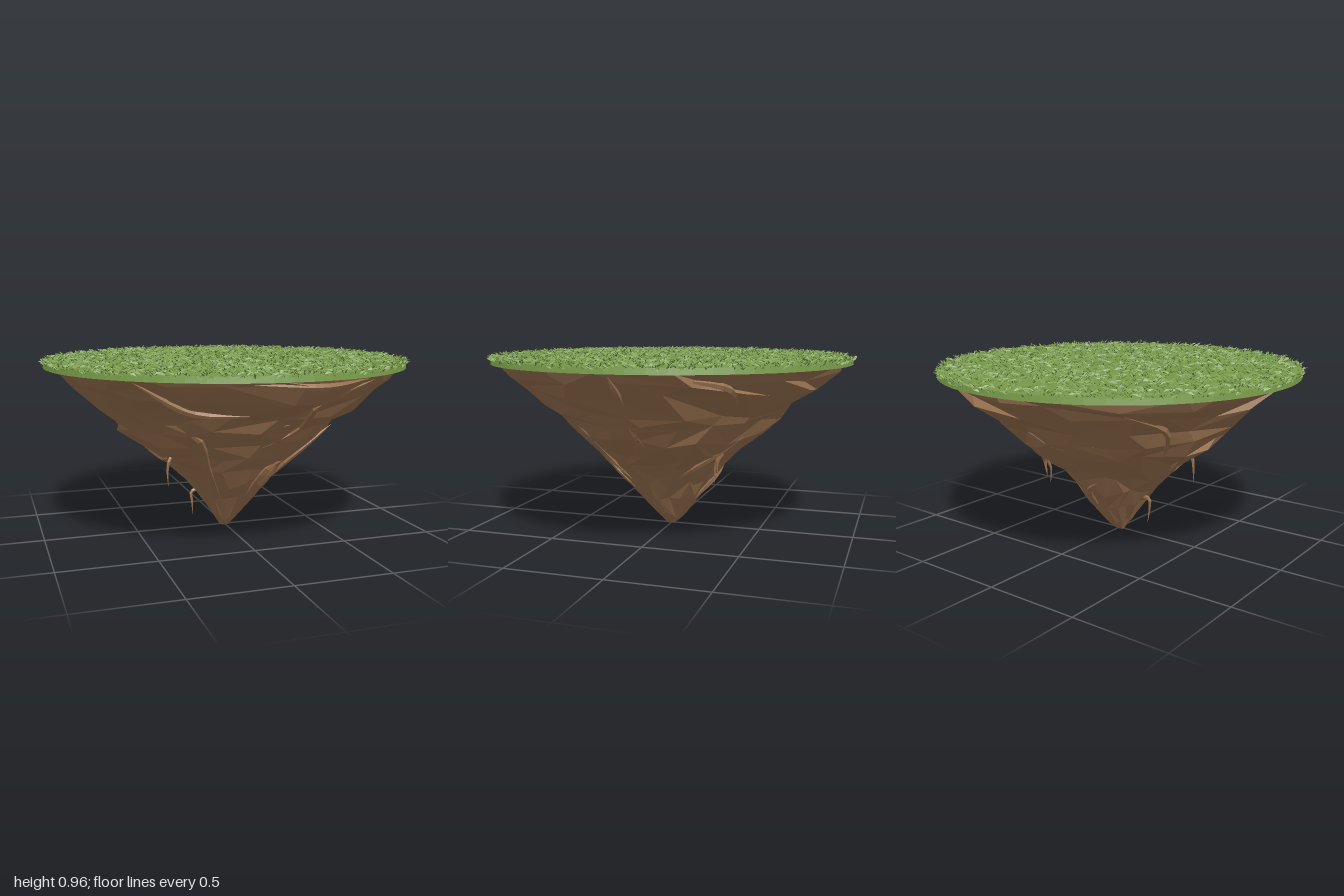
import * as THREE from 'three';
import { mergeGeometries } from 'three/addons/utils/BufferGeometryUtils.js';

const earthMat = new THREE.MeshStandardMaterial({ color: 0x98714f });
earthMat.name = 'earth brown';
const grassMat = new THREE.MeshStandardMaterial({ color: 0x77994a, side: THREE.DoubleSide });
grassMat.name = 'grass green';

// Seeded random numbers
function makeRandom(seed) {
  let s = seed;
  return () => (s = (s * 16807) % 2147483647) / 2147483647;
}

// Rock profile: height, then radius towards +z, +x, -z, -x
const LEVELS = [
  [0.0, 0.025, 0.02, 0.02, 0.03], [0.05, 0.07, 0.075, 0.07, 0.06],
  [0.18, 0.18, 0.17, 0.17, 0.14], [0.28, 0.27, 0.25, 0.25, 0.23],
  [0.37, 0.35, 0.33, 0.31, 0.31], [0.45, 0.42, 0.44, 0.42, 0.41],
  [0.54, 0.5, 0.56, 0.52, 0.56], [0.62, 0.58, 0.63, 0.58, 0.62],
  [0.69, 0.66, 0.71, 0.65, 0.68], [0.79, 0.82, 0.82, 0.82, 0.78],
  [0.86, 0.91, 0.89, 0.88, 0.86], [0.91, 0.92, 0.94, 0.92, 0.92],
];

function levelRadius(row, a) {
  const c = Math.cos(a), s = Math.sin(a);
  return c * c * (c > 0 ? row[1] : row[3]) + s * s * (s > 0 ? row[2] : row[4]);
}

// Point on the rock at an angle (0 = front, towards +x) and height
function rockPoint(a, y, out = 0) {
  let i = 1;
  while (i < LEVELS.length - 1 && LEVELS[i][0] < y) i++;
  const lo = LEVELS[i - 1], hi = LEVELS[i];
  const t = (y - lo[0]) / (hi[0] - lo[0]);
  const r = THREE.MathUtils.lerp(levelRadius(lo, a), levelRadius(hi, a), t) + out;
  return new THREE.Vector3(Math.sin(a) * r, y, Math.cos(a) * r);
}

function flat(geometry) {
  const g = geometry.index ? geometry.toNonIndexed() : geometry;
  g.deleteAttribute('normal');
  g.computeVertexNormals();
  return g;
}

// Faceted rock from uneven rings
function rockGeometry() {
  const rnd = makeRandom(71), n = 20, pos = [], idx = [];
  LEVELS.forEach((row, j) => {
    const edge = j === 0 || j === LEVELS.length - 1;
    for (let i = 0; i < n; i++) {
      const a = ((i + (rnd() - 0.5) * 0.75) / n) * Math.PI * 2;
      const y = edge ? row[0] : row[0] + (rnd() - 0.5) * 0.05;
      const p = rockPoint(a, y, edge ? 0 : (rnd() - 0.5) * 0.07 * Math.min(1, 0.2 + row[0]));
      pos.push(p.x, p.y, p.z);
    }
  });
  for (let j = 0; j < LEVELS.length - 1; j++) {
    for (let i = 0; i < n; i++) {
      const a = j * n + i, b = j * n + ((i + 1) % n), c = a + n, d = b + n;
      if (rnd() < 0.5) idx.push(a, b, d, a, d, c);
      else idx.push(a, b, c, b, d, c);
    }
  }
  pos.push(0, 0, 0);
  const tip = LEVELS.length * n;
  for (let i = 0; i < n; i++) idx.push(tip, (i + 1) % n, i);
  const g = new THREE.BufferGeometry();
  g.setAttribute('position', new THREE.Float32BufferAttribute(pos, 3));
  g.setIndex(idx);
  return flat(g);
}

// Tube that narrows to points at its ends
function taperedTube(points, radius, startThick) {
  const curve = new THREE.CatmullRomCurve3(points);
  const segs = points.length * 3, sides = 5;
  const g = new THREE.TubeGeometry(curve, segs, radius, sides, false);
  const p = g.attributes.position, v = new THREE.Vector3();
  for (let i = 0; i <= segs; i++) {
    const t = i / segs, c = curve.getPointAt(t);
    const k = startThick ? 1 - 0.93 * t : 0.05 + 0.95 * Math.sin(Math.PI * t);
    for (let j = 0; j <= sides; j++) {
      const q = i * (sides + 1) + j;
      v.fromBufferAttribute(p, q).sub(c).multiplyScalar(k).add(c);
      p.setXYZ(q, v.x, v.y, v.z);
    }
  }
  return flat(g);
}

// Ridges running over the rock: [angle in degrees, height] along each
const RIDGES = [
  [[-45, 0.89], [-30, 0.74], [-8, 0.72]],
  [[-75, 0.69], [-33, 0.62], [-31, 0.4], [-25, 0.2]],
  [[0, 0.5], [20, 0.62], [16, 0.78], [33, 0.88]],
  [[15, 0.2], [22, 0.41], [45, 0.44]],
  [[40, 0.2], [30, 0.4]],
  [[10, 0.65], [45, 0.72]],
  [[-10, 0.89], [12, 0.87], [30, 0.89]],
  [[90, 0.89], [91, 0.75]],
  [[110, 0.88], [125, 0.83], [133, 0.72]],
  [[89, 0.63], [93, 0.5]],
  [[55, 0.6], [45, 0.4], [50, 0.28]],
  [[100, 0.27], [138, 0.44], [150, 0.55]],
  [[170, 0.66], [185, 0.6], [205, 0.62]],
  [[215, 0.85], [235, 0.72], [240, 0.55]],
  [[165, 0.15], [180, 0.3], [200, 0.36]],
  [[255, 0.5], [270, 0.4], [285, 0.42]],
];

// Loose roots hanging below the rock
const ROOTS = [
  [[-0.3, 0.47, 0.15], [-0.36, 0.43, 0.18], [-0.372, 0.37, 0.18], [-0.37, 0.29, 0.185]],
  [[-0.12, 0.22, 0.01], [-0.195, 0.205, 0.01], [-0.195, 0.15, 0.015], [-0.188, 0.07, 0.01]],
  [[0.2, 0.49, -0.3], [0.24, 0.45, -0.33], [0.235, 0.38, -0.31], [0.24, 0.3, -0.31]],
  [[0.25, 0.46, -0.35], [0.26, 0.42, -0.33], [0.25, 0.34, -0.325]],
];

// Short bent blades scattered over the turf
function bladesGeometry() {
  const rnd = makeRandom(2024), pos = [];
  const count = 3600;
  for (let i = 0; i < count; i++) {
    const rim = i < 350;
    const r = rim ? 0.955 : 0.95 * Math.sqrt(rnd());
    const a = rnd() * Math.PI * 2;
    const dir = rim ? a + (rnd() - 0.5) * 2.4 : rnd() * Math.PI * 2;
    const len = rim ? 0.015 + rnd() * 0.025 : 0.03 + rnd() * 0.035;
    const w = 0.009 + rnd() * 0.006;
    const x = Math.sin(a) * r, z = Math.cos(a) * r;
    const y = rim ? 0.915 + rnd() * 0.018 : 0.93;
    const dx = Math.sin(dir), dz = Math.cos(dir);
    const tipY = y + 0.012 + rnd() * 0.014;
    const L = [x - dz * w, y, z + dx * w], R = [x + dz * w, y, z - dx * w];
    const M = [x + dx * len * 0.4, y + 0.016, z + dz * len * 0.4];
    const T = [x + dx * len, tipY, z + dz * len];
    pos.push(...L, ...M, ...T, ...R, ...T, ...M);
  }
  // Turn every face upward
  for (let i = 0; i < pos.length; i += 9) {
    const ux = pos[i + 3] - pos[i], uz = pos[i + 5] - pos[i + 2];
    const vx = pos[i + 6] - pos[i], vz = pos[i + 8] - pos[i + 2];
    if (uz * vx - ux * vz < 0) {
      for (let k = 0; k < 3; k++) {
        [pos[i + 3 + k], pos[i + 6 + k]] = [pos[i + 6 + k], pos[i + 3 + k]];
      }
    }
  }
  const g = new THREE.BufferGeometry();
  g.setAttribute('position', new THREE.Float32BufferAttribute(pos, 3));
  g.computeVertexNormals();
  return g;
}

export function createModel() {
  const model = new THREE.Group();
  model.name = 'floatingIsland';
  const add = (name, geometry, material) => {
    const mesh = new THREE.Mesh(geometry, material);
    mesh.name = name;
    model.add(mesh);
    return mesh;
  };

  add('rock', rockGeometry(), earthMat);

  const ridges = RIDGES.map((path) => taperedTube(
    path.map(([deg, y]) => rockPoint(THREE.MathUtils.degToRad(deg), y, -0.002)), 0.018, false));
  add('rockRidges', mergeGeometries(ridges), earthMat);

  const roots = ROOTS.map((path) => taperedTube(
    path.map((p) => new THREE.Vector3(...p)), 0.015, true));
  add('hangingRoots', mergeGeometries(roots), earthMat);

  // Turf disc
  add('turf', flat(new THREE.CylinderGeometry(0.962, 0.968, 0.03, 64)), grassMat).position.y = 0.92;
  add('grassBlades', bladesGeometry(), grassMat);
  return model;
}
